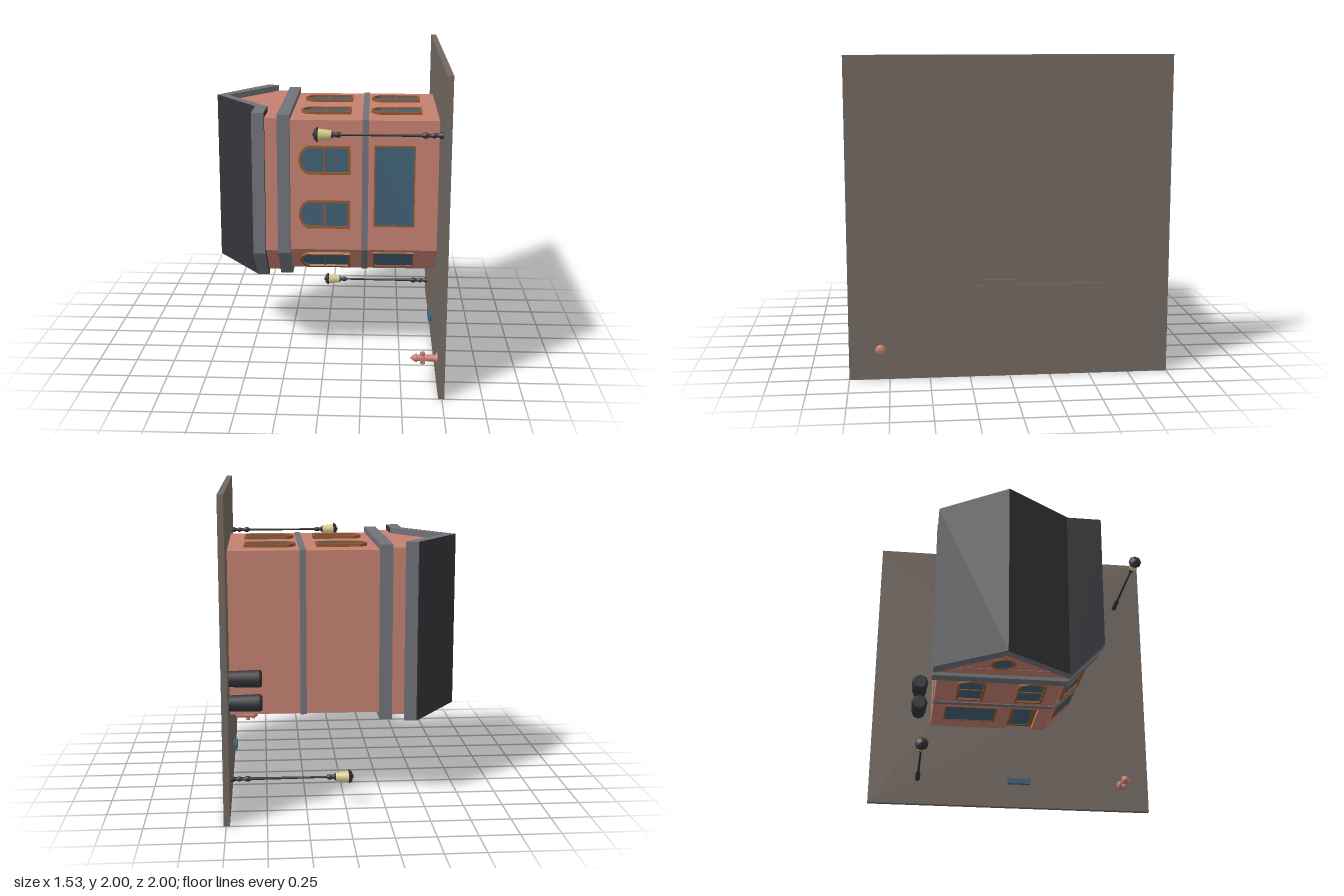
import * as THREE from 'three';

const mat = (name, color) => Object.assign(new THREE.MeshStandardMaterial({ color }), { name });

export function createModel() {
  const brick = mat('brick', 0xc37f70);
  const trim = mat('stone trim', 0x707278);
  const slate = mat('roof slate', 0x353439);
  const paving = mat('paving', 0x726861);
  const glass = mat('window glass', 0x3f6075);
  const wood = mat('window wood', 0x93592f);
  const iron = mat('dark iron', 0x323237);
  const lampGlass = mat('lamp glass', 0xd6c98a);

  const model = new THREE.Group();
  model.name = 'cornerBuilding';
  // The scene is built upright (y is height above the paving) and then laid on its side
  const scene = new THREE.Group();
  scene.name = 'streetCorner';
  scene.rotation.z = Math.PI / 2;
  scene.position.x = 0.73;
  model.add(scene);

  const add = (name, geometry, material, parent = scene, x = 0, y = 0, z = 0) => {
    const mesh = new THREE.Mesh(geometry, material);
    mesh.name = name;
    mesh.position.set(x, y, z);
    parent.add(mesh);
    return mesh;
  };
  const points = pts => pts.map(p => new THREE.Vector2(p[0], p[1]));
  const polygon = pts => new THREE.Shape(points(pts));
  const extrude = (shape, depth) =>
    new THREE.ExtrudeGeometry(shape, { depth, bevelEnabled: false, curveSegments: 6 });
  // Plan shape (x, -z) raised from y0 to y1
  const raise = (name, shape, y0, y1, material) =>
    add(name, extrude(shape, y1 - y0).rotateX(-Math.PI / 2), material, scene, 0, y0, 0);
  // Profile of [z, y] points swept along x
  const sweep = (name, pts, x0, x1, material) =>
    add(name, extrude(polygon(pts.map(([z, y]) => [-z, y])), x1 - x0).rotateY(Math.PI / 2),
      material, scene, x0, 0, 0);

  // Building plan with a cut corner, grown outward by o, with an optional doorway recess
  const plan = (o, doorway = []) => {
    const x0 = 0.585 - o, x1 = 1.625 + o, z0 = -0.583 - o, z1 = 0.425 + o, k = 0.414 * o;
    return [[x0, -z0], [x1, -z0], [x1, -z1], [0.77 - k, -z1], [x0, -0.24 - k], ...doorway];
  };
  const doorway = [[0.585, -0.15], [0.617, -0.15], [0.617, 0.04], [0.585, 0.04]];
  const storey = (name, o, y0, y1, material) => raise(name, polygon(plan(o)), y0, y1, material);

  // Paving slab, open under the building so that the walls stand in it
  const slab = polygon([[0, -1], [2, -1], [2, 1], [0, 1]]);
  slab.holes.push(new THREE.Path(points(plan(0, doorway))));
  raise('pavingSlab', slab, -0.035, 0.0025, paving);
  raise('buildingFloor', polygon(plan(0, doorway)), -0.023, 0, paving);

  // Walls and string courses
  raise('groundWalls', polygon(plan(0, doorway)), 0, 0.4, brick);
  storey('upperWalls', 0, 0.4, 0.96, brick);
  storey('floorBand', 0.006, 0.45, 0.49, trim);
  storey('cornice', 0.038, 0.95, 1.03, trim);
  storey('atticWalls', 0.015, 1.02, 1.12, brick);

  // Gable roof with a flat strip along the front
  sweep('gableWalls', [[-0.6, 1.11], [-0.185, 1.425], [0.24, 1.11]], 0.572, 1.638, brick);
  sweep('gableRoof', [[-0.62, 1.11], [-0.62, 1.19], [-0.185, 1.49], [0.235, 1.19],
    [0.245, 1.11], [-0.185, 1.42], [-0.598, 1.11]], 0.533, 1.677, trim);
  sweep('roofSlates', [[-0.62, 1.188], [-0.62, 1.194], [-0.185, 1.495], [0.238, 1.194],
    [0.238, 1.188], [-0.185, 1.489]], 0.533, 1.677, slate);
  const flat = [[0.533, -0.23], [1.677, -0.23], [1.677, -0.47], [0.75, -0.47], [0.533, -0.255]];
  raise('flatRoof', polygon(flat), 1.11, 1.19, [slate, trim]);

  // Pane outline: w wide, h tall from height b, with an optional segmental arch rising by a
  const outline = (w, h, a, b, Type) => {
    const s = new Type();
    s.moveTo(-w / 2, b);
    s.lineTo(w / 2, b);
    s.lineTo(w / 2, b + h - a);
    if (a) {
      const r = (w * w / 4 + a * a) / (2 * a), start = Math.asin((r - a) / r);
      s.absarc(0, b + h - r, r, start, Math.PI - start, false);
    } else s.lineTo(-w / 2, b + h);
    s.lineTo(-w / 2, b);
    return s;
  };
  const windowAt = (name, x, y, z, turn, { w = 0.186, h = 0.33, a = 0.055, t = 0.015,
    depth = 0.018, bar = true } = {}) => {
    const g = new THREE.Group();
    g.name = name;
    g.position.set(x, y, z);
    g.rotation.y = turn;
    scene.add(g);
    const inner = [w - 2 * t, h - 2 * t, a * 0.85, t];
    const ring = outline(w, h, a, 0, THREE.Shape);
    ring.holes.push(outline(...inner, THREE.Path));
    add('windowFrame', extrude(ring, depth), wood, g);
    add('windowPane', extrude(outline(...inner, THREE.Shape), 0.004), glass, g);
    if (bar) add('windowBar', new THREE.BoxGeometry(w - 2 * t, 0.011, 0.01), wood, g, 0, h / 2, 0.005);
  };

  const low = 0.105, high = 0.565, side = Math.PI / 2;
  for (const z of [-0.32, 0.135])
    for (const y of [low, high]) windowAt('sideWindow', 1.625, y, z, side);
  for (const z of [-0.35, 0.05]) windowAt('farSideWindow', 0.585, high, z, -side);
  for (const x of [1.01, 1.368]) windowAt('frontWindow', x, high, 0.425, 0);
  windowAt('cornerWindow', 0.6775, high, 0.3325, -Math.PI / 4);

  // Street-level shop windows and glazed door
  const shop = { h: 0.262, a: 0, t: 0.009, depth: 0.008, bar: false };
  windowAt('cornerShopWindow', 0.683, 0.151, 0.338, -Math.PI / 4, shop);
  windowAt('shopWindow', 1.197, 0.151, 0.425, 0, { ...shop, w: 0.535 });
  windowAt('farShopWindow', 0.585, 0.151, -0.32, -side, { ...shop, w: 0.36 });
  windowAt('door', 0.617, 0.003, 0.055, -side, { ...shop, h: 0.395, t: 0.03 });

  // Round attic window
  const attic = new THREE.Group();
  attic.name = 'atticWindow';
  attic.position.set(0.572, 1.2, -0.185);
  attic.rotation.y = -side;
  scene.add(attic);
  add('roundFrame', new THREE.TorusGeometry(0.07, 0.01, 6, 20), wood, attic);
  add('roundPane', new THREE.CircleGeometry(0.07, 20), glass, attic, 0, 0, 0.003);

  const lathe = (pts, n) => new THREE.LatheGeometry(points(pts), n);

  // Street lamps
  for (const [x, z] of [[1.612, 0.802], [0.182, -0.66]]) {
    const lamp = new THREE.Group();
    lamp.name = 'streetLamp';
    lamp.position.set(x, 0, z);
    scene.add(lamp);
    add('lampPost', lathe([[0.018, 0], [0.018, 0.02], [0.012, 0.03], [0.012, 0.045], [0.017, 0.05],
      [0.017, 0.06], [0.011, 0.07], [0.011, 0.09], [0.018, 0.1], [0.018, 0.115], [0.009, 0.135],
      [0.006, 0.61], [0.016, 0.62], [0.016, 0.645], [0.009, 0.65], [0.025, 0.67], [0, 0.67]], 10), iron, lamp);
    add('lampLantern', new THREE.CylinderGeometry(0.039, 0.027, 0.09, 8), lampGlass, lamp, 0, 0.715, 0);
    add('lampCap', lathe([[0, 0.75], [0.045, 0.75], [0.044, 0.76], [0.03, 0.774],
      [0.012, 0.776], [0.01, 0.783], [0, 0.783]], 8), iron, lamp);
  }

  // Fire hydrant
  const hydrant = new THREE.Group();
  hydrant.name = 'hydrant';
  hydrant.position.set(0.187, 0, 0.805);
  scene.add(hydrant);
  add('hydrantBody', lathe([[0, -0.0355], [0.034, -0.0355], [0.034, 0.012], [0.021, 0.014],
    [0.021, 0.128], [0.028, 0.13], [0.028, 0.142], [0.021, 0.145], [0.018, 0.158],
    [0.008, 0.163], [0.008, 0.17], [0, 0.17]], 14), brick, hydrant);
  add('hydrantSideNozzles', new THREE.CylinderGeometry(0.016, 0.016, 0.076, 10).rotateZ(side),
    brick, hydrant, 0, 0.095, 0);
  add('hydrantFrontNozzle', new THREE.CylinderGeometry(0.018, 0.018, 0.038, 10).rotateX(side),
    brick, hydrant, 0, 0.095, 0.02);

  // Low blue bench beside the building
  add('bench', new THREE.BoxGeometry(0.04, 0.03, 0.16), glass, scene, 0.185, 0.016, 0.06);

  // Bins behind the building
  for (const x of [0.683, 0.838]) {
    add('bin', new THREE.CylinderGeometry(0.057, 0.051, 0.195, 8), iron, scene, x, 0.0975, -0.674);
    add('binLid', new THREE.CylinderGeometry(0.045, 0.06, 0.018, 8), iron, scene, x, 0.2, -0.674);
  }

  return model;
}
